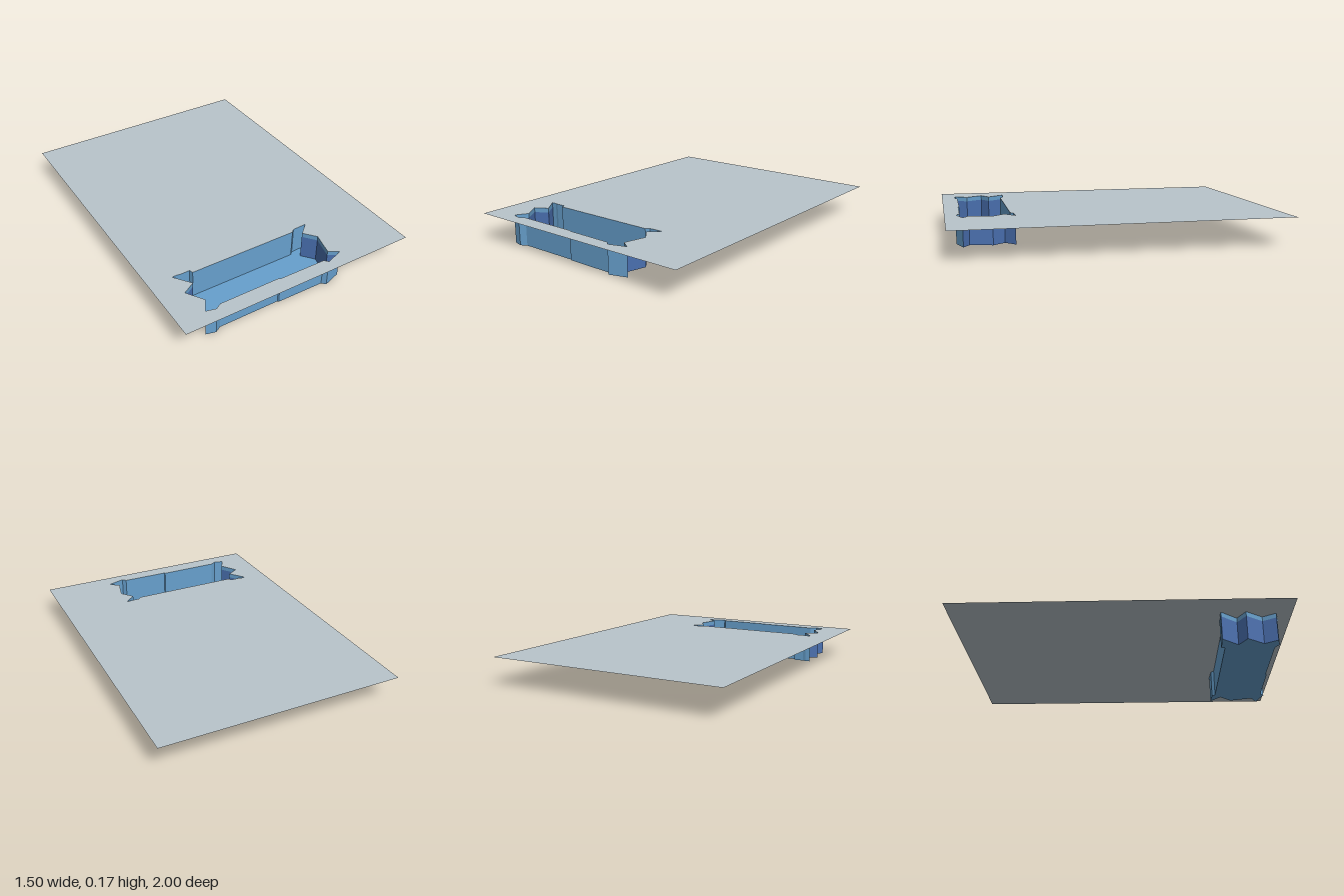
import * as THREE from 'three';

const TOP = 0.175, BAND = 0.147;

// Basin outline as [x, z], split into its four sides; each side ends where the next begins
const sides = {
  back: [[-0.6, 0.585], [-0.57, 0.583], [-0.55, 0.588], [-0.49, 0.587], [-0.483, 0.61], [0.208, 0.61], [0.228, 0.592], [0.318, 0.588]],
  left: [[0.318, 0.588], [0.25, 0.648], [0.31, 0.722], [0.275, 0.858], [0.335, 0.897]],
  front: [[0.335, 0.897], [0.225, 0.933], [0.205, 0.91], [-0.095, 0.907], [-0.1, 0.9], [-0.483, 0.9], [-0.52, 0.922], [-0.578, 0.907]],
  right: [[-0.578, 0.907], [-0.535, 0.832], [-0.602, 0.73], [-0.525, 0.685], [-0.6, 0.585]],
};

// Vertical strip standing on a path, one flat quad per segment
function wall(path, y0, y1) {
  const pos = [];
  for (let i = 0; i < path.length - 1; i++) {
    const [ax, az] = path[i], [bx, bz] = path[i + 1];
    pos.push(ax, y0, az, ax, y1, az, bx, y1, bz, ax, y0, az, bx, y1, bz, bx, y0, bz);
  }
  const g = new THREE.BufferGeometry();
  g.setAttribute('position', new THREE.Float32BufferAttribute(pos, 3));
  g.computeVertexNormals();
  return g;
}

// Horizontal face, facing up, from a shape drawn with y = -z
function flat(shape, y) {
  return new THREE.ShapeGeometry(shape).rotateX(-Math.PI / 2).translate(0, y, 0);
}

export function createModel() {
  const group = new THREE.Group();
  const material = (name, color) =>
    new THREE.MeshStandardMaterial({ name, color, side: THREE.DoubleSide });
  const paving = material('paving grey', 0xb9c5cb);
  const lightBlue = material('light blue', 0x67a0cd);
  const deepBlue = material('deep blue', 0x4a70b0);
  const add = (name, geometry, mat) => {
    const mesh = new THREE.Mesh(geometry, mat);
    mesh.name = name;
    group.add(mesh);
  };

  const outline = Object.values(sides)
    .flatMap((s) => s.slice(0, -1))
    .map(([x, z]) => new THREE.Vector2(x, -z));

  // Ground sheet with the basin cut out
  const sheet = new THREE.Shape([[-0.75, -1], [0.75, -1], [0.75, 1], [-0.75, 1]].map((p) => new THREE.Vector2(...p)));
  sheet.holes.push(new THREE.Path(outline));
  add('groundSheet', flat(sheet, TOP), paving);

  // Basin floor
  add('basinFloor', flat(new THREE.Shape(outline), 0), lightBlue);

  // Long walls in one colour
  for (const s of ['back', 'front']) add(s + 'Wall', wall(sides[s], 0, TOP), lightBlue);

  // Notched end walls with a light band along the rim
  for (const s of ['left', 'right']) {
    add(s + 'EndWall', wall(sides[s], 0, BAND), deepBlue);
    add(s + 'EndBand', wall(sides[s], BAND, TOP), lightBlue);
  }
  return group;
}
